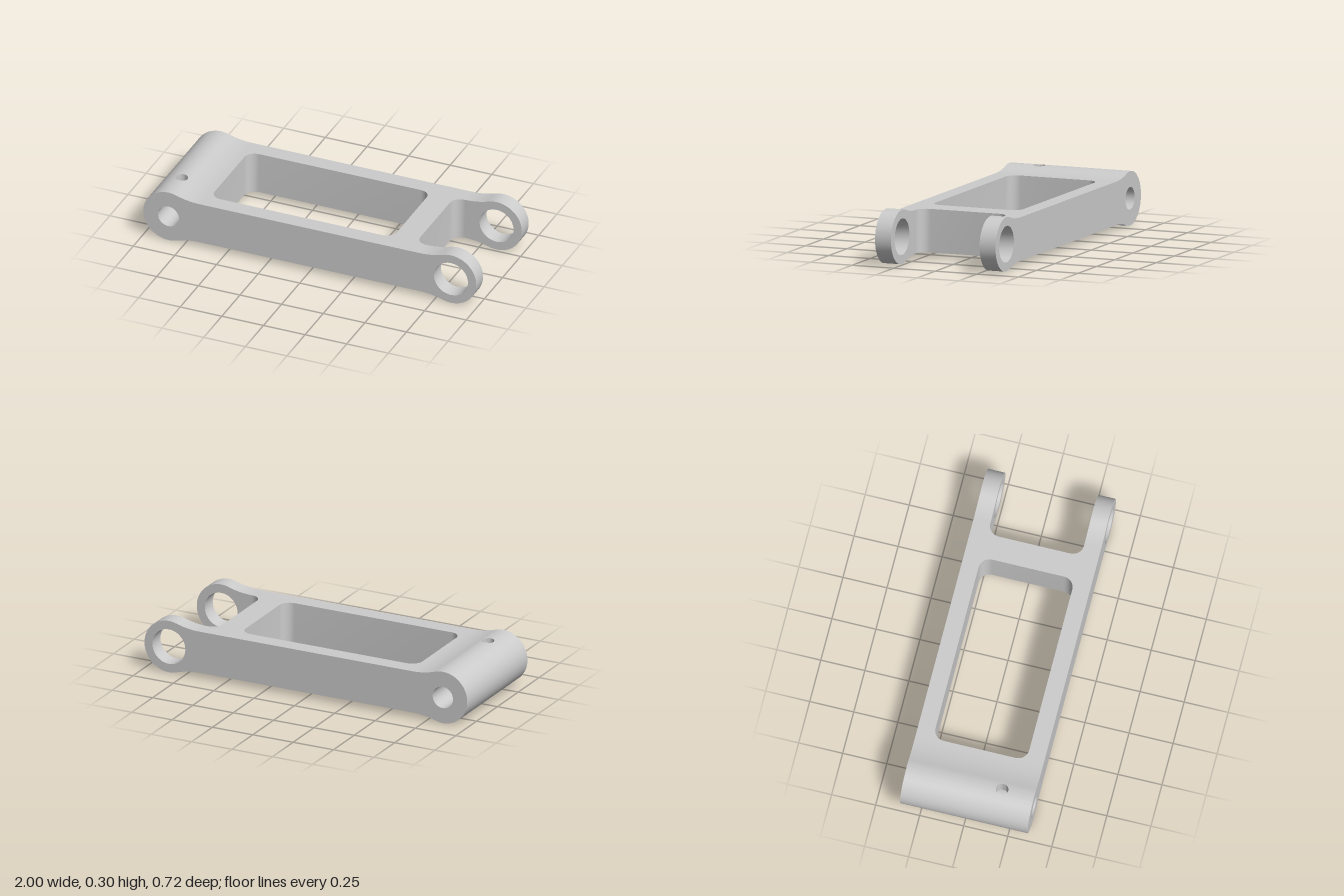
import * as THREE from 'three';
import { toCreasedNormals } from 'three/addons/utils/BufferGeometryUtils.js';

// Overall sizes
const R = 0.1515, CY = R, CX = 1 - R;        // boss radius and centres
const H = 0.1215, BLEND = 0.45;              // bar half height, neck blend radius
const REACH = Math.sqrt((R + BLEND) ** 2 - (H + BLEND) ** 2);
const TANGENT = REACH * R / (R + BLEND);
const D = 0.362, INNER = 0.266, CORNER = 0.062; // half depth, half opening, corner radius
const PIN_R = 0.063, FORK_R = 0.102;
const SEG = 36;

// Half height of the side profile at x
function halfHeight(x) {
  const u = Math.abs(x) - CX;
  if (u >= -TANGENT) return Math.sqrt(Math.max(0, R * R - u * u));
  if (u > -REACH) return H + BLEND - Math.sqrt(BLEND * BLEND - (u + REACH) ** 2);
  return H;
}
const top = (x) => CY + halfHeight(x);
const bottom = (x) => CY - halfHeight(x);
const boreY = (cx, r, sign) => (x) => CY + sign * Math.sqrt(Math.max(0, r * r - (x - cx) ** 2));

// Openings cut through from above: half width at x
const POCKET = { x0: -0.64, x1: 0.455, z: 0 };
const SLOT = { x0: 0.595, x1: 1, z: 0 };
const DRILL = { x0: -CX - 0.035, x1: -CX + 0.035, z: 0.18, r: 0.035 };
const rounded = (d) => (d >= CORNER ? INNER
  : INNER - CORNER + Math.sqrt(Math.max(0, CORNER ** 2 - (CORNER - d) ** 2)));
POCKET.half = (x) => rounded(Math.min(x - POCKET.x0, POCKET.x1 - x));
SLOT.half = (x) => rounded(x - SLOT.x0);
DRILL.half = (x) => Math.sqrt(Math.max(0, DRILL.r ** 2 - (x + CX) ** 2));

// Solid z ranges at x, for the column whose middle is mid
function spans(x, mid) {
  const gap = [POCKET, SLOT, DRILL].find((g) => mid > g.x0 && mid < g.x1);
  if (!gap) return [[-D, D]];
  const w = gap.half(x);
  return [[-D, gap.z - w], [gap.z + w, D]];
}

const arc = (cx, cz, r, a0, a1, n) => Array.from({ length: n + 1 }, (_, i) => {
  const a = a0 + (a1 - a0) * i / n;
  return [cx + r * Math.cos(a), cz + r * Math.sin(a)];
});
const sortedXs = (xs) => xs.sort((a, b) => a - b).filter((x, i, s) => i === 0 || x - s[i - 1] > 1e-5);

// Collects triangles for one part
class Skin {
  constructor() { this.pos = []; }
  quad(a, b, c, d) { this.pos.push(...a, ...b, ...c, ...a, ...c, ...d); }
  // Surface y(x) swept over the solid z ranges
  sheet(xs, y, up) {
    for (let i = 0; i + 1 < xs.length; i++) {
      const p = xs[i], q = xs[i + 1], mid = (p + q) / 2;
      const sp = spans(p, mid), sq = spans(q, mid);
      sp.forEach(([z0, z1], k) => {
        const a = [p, y(p), z0], b = [p, y(p), z1], c = [q, y(q), sq[k][1]], d = [q, y(q), sq[k][0]];
        if (up) this.quad(a, b, c, d); else this.quad(d, c, b, a);
      });
    }
  }
  // Upright wall along a plan path
  wall(path, lo, hi) {
    for (let i = 0; i + 1 < path.length; i++) {
      const [x0, z0] = path[i], [x1, z1] = path[i + 1];
      this.quad([x0, lo(x0), z0], [x1, lo(x1), z1], [x1, hi(x1), z1], [x0, hi(x0), z0]);
    }
  }
  // Flat side face with bores, facing +z or -z
  face(xs, z, dir, bores) {
    const outline = [...xs.map((x) => [x, bottom(x)]), ...[...xs].reverse().map((x) => [x, top(x)])];
    const pts = outline.map(([x, y]) => new THREE.Vector2(x, y))
      .filter((p, i, s) => i === 0 || p.distanceTo(s[i - 1]) > 1e-5);
    const shape = new THREE.Shape(pts);
    for (const [cx, r] of bores) {
      const ring = arc(cx, CY, r, 0, -Math.PI * 2, SEG).slice(0, -1);
      shape.holes.push(new THREE.Path(ring.map(([x, y]) => new THREE.Vector2(x, y))));
    }
    const g = new THREE.ShapeGeometry(shape), idx = g.index.array, p = g.attributes.position;
    for (let i = 0; i < idx.length; i += 3) {
      const tri = dir > 0 ? [0, 1, 2] : [0, 2, 1];
      for (const k of tri) this.pos.push(p.getX(idx[i + k]), p.getY(idx[i + k]), z);
    }
  }
  mesh(name, material) {
    const g = new THREE.BufferGeometry();
    g.setAttribute('position', new THREE.Float32BufferAttribute(this.pos, 3));
    const m = new THREE.Mesh(toCreasedNormals(g, 0.6), material);
    m.name = name;
    return m;
  }
}

export function createModel() {
  const group = new THREE.Group();
  group.name = 'linkArm';
  const material = new THREE.MeshStandardMaterial({ color: 0xcccccc });
  const PI = Math.PI;

  // Plan paths of the openings
  const zc = INNER - CORNER;
  const l = POCKET.x0 + CORNER, r = POCKET.x1 - CORNER;
  const pocketPath = [
    ...arc(l, -zc, CORNER, PI, 1.5 * PI, 8), ...arc(r, -zc, CORNER, -PI / 2, 0, 8),
    ...arc(r, zc, CORNER, 0, PI / 2, 8), ...arc(l, zc, CORNER, PI / 2, PI, 8)];
  pocketPath.push(pocketPath[0]);
  const s = SLOT.x0 + CORNER;
  const slotPath = [...arc(s, zc, CORNER, PI / 2, PI, 8), ...arc(s, -zc, CORNER, PI, 1.5 * PI, 8)];
  const drillPath = arc(-CX, DRILL.z, DRILL.r, 0, 2 * PI, 24);

  // Stations along the length, shared by all outer surfaces
  const half = arc(CX, 0, R, 0, PI / 2 + Math.asin(TANGENT / R), 16).map((p) => p[0]);
  for (let i = 0; i <= 10; i++) half.push(CX - TANGENT - (REACH - TANGENT) * i / 10);
  const xs = sortedXs([...half, ...half.map((x) => -x),
    ...[...pocketPath, ...slotPath, ...drillPath].map((p) => p[0])]);

  // Frame: top, underside, long sides, pocket and fork walls
  const body = new Skin();
  body.sheet(xs, top, true);
  body.sheet(xs, bottom, false);
  for (const dir of [1, -1]) body.face(xs, dir * D, dir, [[-CX, PIN_R], [CX, FORK_R]]);
  body.wall(pocketPath, bottom, top);
  body.wall(slotPath, bottom, top);
  const forkXs = xs.filter((x) => x > s - 1e-5);
  for (const dir of [1, -1]) body.face(forkXs, dir * INNER, -dir, [[CX, FORK_R]]);
  group.add(body.mesh('frame', material));

  // Bore linings; the fork bore is split by the slot
  const addBore = (name, cx, rad, extra) => {
    const stations = sortedXs([...arc(cx, 0, rad, 0, PI, SEG / 2).map((p) => p[0]), ...extra]);
    const bore = new Skin();
    bore.sheet(stations, boreY(cx, rad, 1), false);
    bore.sheet(stations, boreY(cx, rad, -1), true);
    group.add(bore.mesh(name, material));
  };
  addBore('pinBore', -CX, PIN_R, drillPath.map((p) => p[0]));
  addBore('forkBores', CX, FORK_R, []);

  // Small cross hole through the pin boss
  const drill = new Skin();
  drill.wall(drillPath, boreY(-CX, PIN_R, 1), top);
  drill.wall(drillPath, bottom, boreY(-CX, PIN_R, -1));
  group.add(drill.mesh('crossHole', material));

  return group;
}
